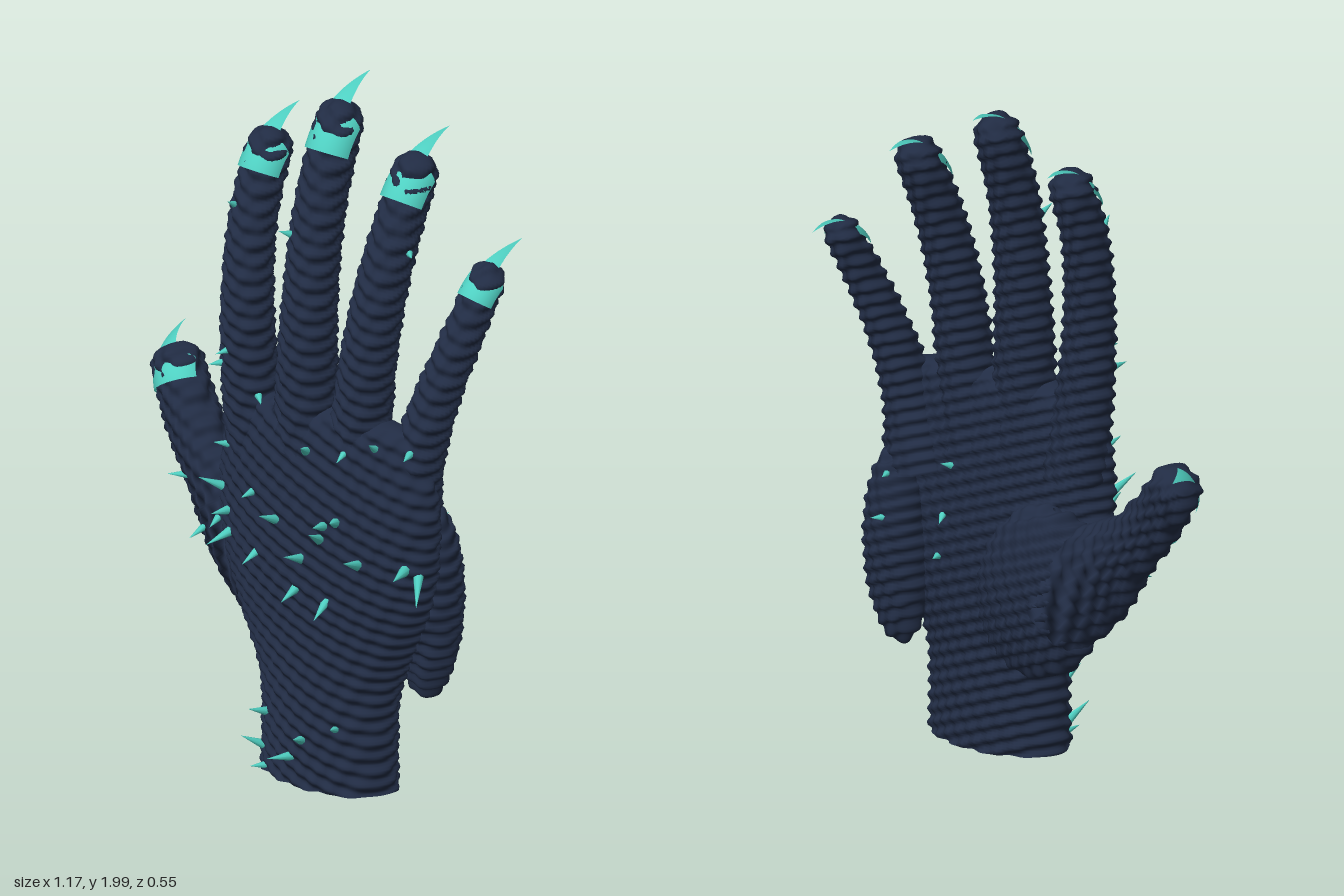
import * as THREE from 'three';
import { ParametricGeometry } from 'three/addons/geometries/ParametricGeometry.js';

const V = (x, y, z) => new THREE.Vector3(x, y, z);
const FRONT = V(0, 0, 1);

// scaly ripple added to every skin surface
const ripple = (p) =>
  0.0055 * Math.sin(150 * (p.y + 0.4 * p.x + 0.3 * p.z)) +
  0.003 * Math.sin(120 * (p.x - 0.5 * p.y + 0.6 * p.z));

// axes across a path: side (towards +x) and front (towards +z)
function frame(curve, t) {
  const tangent = curve.getTangent(t);
  const side = tangent.clone().cross(FRONT).normalize();
  const front = side.clone().cross(tangent).normalize();
  return { side, front };
}

// skin swept through rows of [x, y, z, sideRadius, frontRadius], ends rounded off
function sweep(rows, startCap, endCap, slices, stacks) {
  const path = new THREE.CatmullRomCurve3(rows.map((r) => V(r[0], r[1], r[2])), false, 'catmullrom');
  const radii = new THREE.CatmullRomCurve3(rows.map((r) => V(r[3], r[4] ?? r[3], 0)), false, 'catmullrom');
  const geometry = new ParametricGeometry((u, v, out) => {
    const c = path.getPoint(v), r = radii.getPoint(v), { side, front } = frame(path, v);
    let cap = 1;
    if (v > 1 - endCap) cap = Math.sqrt(Math.max(0, 1 - ((v - 1 + endCap) / endCap) ** 2));
    if (v < startCap) cap = Math.sqrt(Math.max(0, 1 - (1 - v / startCap) ** 2));
    cap = Math.max(0.005, cap);
    const a = u * Math.PI * 2, x = Math.cos(a), z = -Math.sin(a);
    out.copy(c).addScaledVector(side, x * r.x * cap).addScaledVector(front, z * r.y * cap);
    const h = ripple(out) * cap;
    out.addScaledVector(side, x * h).addScaledVector(front, z * h);
  }, slices, stacks);
  return { geometry, path, radii };
}

// rippled ellipsoid for the fleshy pads of the palm
function pad(c, r, tilt) {
  const turn = new THREE.Matrix4().makeRotationZ(tilt);
  return new ParametricGeometry((u, v, out) => {
    const a = u * Math.PI * 2, b = Math.PI * (0.01 + 0.98 * v), s = Math.sin(b);
    const n = V(Math.cos(a) * s, -Math.cos(b), -Math.sin(a) * s);
    out.set(n.x * r[0], n.y * r[1], n.z * r[2]).applyMatrix4(turn).add(c);
    out.addScaledVector(n.applyMatrix4(turn), ripple(out));
  }, 56, 90);
}

// nail plate wrapping the fingertip, narrowing to a claw that hooks backward
function claw({ path, radii }, point) {
  const t0 = 0.87, f0 = frame(path, t0), r = radii.getPoint(t0).x + 0.009;
  const f1 = frame(path, 1);
  const curve = new THREE.QuadraticBezierCurve3(
    path.getPoint(t0).addScaledVector(f0.front, r),
    path.getPoint(1).addScaledVector(f1.front, r * 0.85),
    point);
  return new ParametricGeometry((u, v, out) => {
    const wide = 1 - THREE.MathUtils.smoothstep(v, 0.38, 0.48);
    const spread = 0.48 * Math.min(1, (1 - v) / 0.55) + wide * 0.75;
    const a = (u - 0.5) * 2 * spread;
    const { side } = f0, normal = side.clone().cross(curve.getTangent(v)).normalize();
    out.copy(curve.getPoint(v))
      .addScaledVector(side, r * Math.sin(a))
      .addScaledVector(normal, -r * (1 - Math.cos(a)));
  }, 14, 40);
}

const FINGERS = {
  indexFinger: { tip: [-0.132, 1.862, -0.2], rows: [
    [-0.09, 0.86, 0.04, 0.09], [-0.115, 1.12, 0.06, 0.078], [-0.13, 1.36, 0.055, 0.07],
    [-0.143, 1.6, 0.005, 0.064], [-0.135, 1.83, -0.085, 0.06]] },
  middleFinger: { tip: [0.085, 2.0, -0.225], rows: [
    [0.08, 0.86, 0.06, 0.095], [0.08, 1.14, 0.075, 0.085], [0.08, 1.42, 0.06, 0.074],
    [0.078, 1.69, 0.005, 0.069], [0.082, 1.96, -0.105, 0.063]] },
  ringFinger: { tip: [0.318, 1.876, -0.267], rows: [
    [0.22, 0.86, 0.05, 0.09], [0.255, 1.12, 0.065, 0.08], [0.277, 1.37, 0.045, 0.073],
    [0.298, 1.6, -0.015, 0.067], [0.316, 1.85, -0.135, 0.06]] },
  littleFinger: { tip: [0.545, 1.59, -0.285], rows: [
    [0.37, 0.8, 0.03, 0.1], [0.415, 1.0, 0.04, 0.075], [0.46, 1.19, 0.01, 0.062],
    [0.51, 1.38, -0.05, 0.054], [0.547, 1.57, -0.145, 0.047]] },
  thumb: { tip: [-0.56, 1.068, -0.28], rows: [
    [-0.06, 0.5, -0.03, 0.16, 0.11], [-0.19, 0.615, -0.045, 0.14, 0.1], [-0.32, 0.745, -0.08, 0.092, 0.088],
    [-0.425, 0.87, -0.115, 0.078], [-0.535, 1.04, -0.175, 0.068]] },
};

// thorn spots on the back of the hand: x, y, length
const THORNS = [
  [-0.18, 1.63, 0.04], [0.03, 1.61, 0.04], [0.36, 1.6, 0.04], [-0.15, 1.23, 0.04], [-0.18, 1.18, 0.04],
  [-0.06, 1.11, 0.05], [0.13, 1.01, 0.07], [0.25, 1.03, 0.04], [0.34, 1.06, 0.05], [0.44, 1.06, 0.05],
  [-0.16, 0.94, 0.05], [-0.05, 0.84, 0.06], [0.04, 0.79, 0.08], [0.13, 0.7, 0.08], [0.19, 0.77, 0.09],
  [0.24, 0.83, 0.08], [0.2, 0.81, 0.08], [0.31, 0.72, 0.09], [0.44, 0.72, 0.1], [0.47, 0.7, 0.1],
  [-0.14, 0.69, 0.08], [-0.03, 0.67, 0.06], [-0.18, 0.81, 0.08], [-0.15, 0.75, 0.07], [-0.39, 0.74, 0.05],
  [-0.24, 0.67, 0.05], [-0.3, 0.62, 0.05], [-0.22, 0.43, 0.04], [0.11, 0.6, 0.08], [0.21, 0.58, 0.06],
  [-0.01, 0.19, 0.07], [0.14, 0.16, 0.07], [0.1, 0.1, 0.08], [0.24, 0.21, 0.05], [-0.03, 0.08, 0.08],
  [-0.01, 0.03, 0.05]];
const PALM_THORNS = [[0.43, 0.8, 0.04], [0.43, 0.68, 0.04], [0.25, 0.85, 0.04], [0.27, 0.7, 0.04], [0.28, 0.58, 0.04]];

export function createModel() {
  const skin = new THREE.MeshStandardMaterial({ color: 0x212c44 });
  skin.name = 'dark navy skin';
  const teal = new THREE.MeshStandardMaterial({ color: 0x4fd0c2, side: THREE.DoubleSide });
  teal.name = 'teal claw';
  const model = new THREE.Group();
  model.name = 'clawedHand';
  const add = (parent, name, geometry, material) => {
    const mesh = new THREE.Mesh(geometry, material);
    mesh.name = name;
    parent.add(mesh);
    return mesh;
  };

  // wrist and palm in one sweep
  const body = sweep([
    [0.155, 0.008, 0.075, 0.208, 0.122], [0.155, 0.15, 0.073, 0.205, 0.122], [0.153, 0.3, 0.068, 0.215, 0.12],
    [0.15, 0.45, 0.06, 0.275, 0.122], [0.15, 0.61, 0.062, 0.33, 0.122], [0.153, 0.78, 0.068, 0.35, 0.112],
    [0.155, 0.94, 0.07, 0.345, 0.095], [0.16, 1.06, 0.07, 0.3, 0.078], [0.16, 1.13, 0.07, 0.24, 0.06],
  ], 0.004, 0.09, 100, 160);
  const flesh = [add(model, 'wristAndPalm', body.geometry, skin)];

  // fleshy pads under the thumb and the little finger
  flesh.push(add(model, 'thumbPad', pad(V(-0.03, 0.53, -0.03), [0.19, 0.26, 0.112], 0.15), skin));
  flesh.push(add(model, 'outerPad', pad(V(0.42, 0.57, -0.02), [0.095, 0.29, 0.085], -0.04), skin));

  // fingers with their claws
  for (const [name, { rows, tip }] of Object.entries(FINGERS)) {
    const finger = new THREE.Group();
    finger.name = name;
    model.add(finger);
    const swept = sweep(rows, 0, 0.06, 32, 120);
    flesh.push(add(finger, name + 'Skin', swept.geometry, skin));
    add(finger, name + 'Claw', claw(swept, V(...tip)), teal);
  }

  // thorns dropped onto the skin along z
  const thorns = new THREE.Group();
  thorns.name = 'thorns';
  model.add(thorns);
  const ray = new THREE.Raycaster();
  const plant = (list, facing) => list.forEach(([x, y, length]) => {
    ray.set(V(x, y, facing), V(0, 0, -facing));
    const hit = ray.intersectObjects(flesh, false)[0];
    if (!hit) return;
    const cone = new THREE.ConeGeometry(0.06 * length + 0.011, length + 0.015, 8);
    cone.translate(0, length / 2 - 0.0075, 0);
    const thorn = add(thorns, 'thorn', cone, teal);
    const out = hit.face.normal.clone().add(V(0, 0, 0.3 * facing)).normalize();
    thorn.quaternion.setFromUnitVectors(V(0, 1, 0), out);
    thorn.position.copy(hit.point);
  });
  plant(THORNS, 1);
  plant(PALM_THORNS, -1);
  return model;
}
